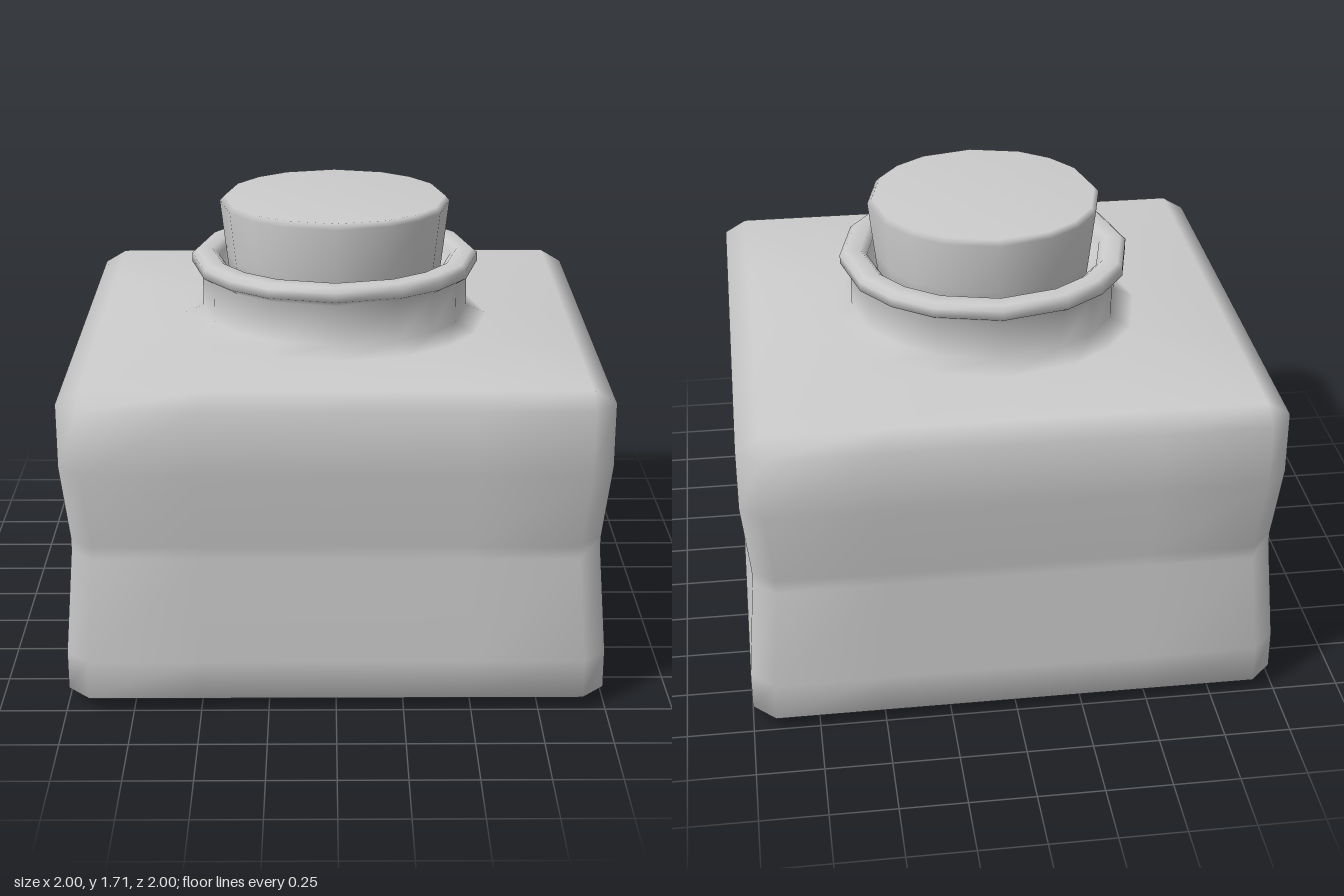
import * as THREE from 'three';
import { mergeVertices } from 'three/addons/utils/BufferGeometryUtils.js';

const SIDES = 20; // five points per quarter; round rings fold the two corner points into one

// Quarter outline repeated four times by turning it 90 degrees
function ring(quarter, y) {
  const points = [];
  for (let q = 0; q < 4; q++) {
    for (let [x, z] of quarter) {
      for (let k = 0; k < q; k++) [x, z] = [-z, x];
      points.push([x, y, z]);
    }
  }
  return points;
}

// Square ring of half width h with corners cut by c
const square = (h, c, y) => ring([[h, 0], [h, h * 0.5], [h, h - c], [h - c, h], [h * 0.5, h]], y);

// Round ring of radius r
const round = (r, y) => {
  const a = r * 0.894, b = r * 0.447, d = r * 0.707;
  return ring([[r, 0], [a, b], [d, d], [d, d], [b, a]], y);
};

// Smooth skin through a stack of rings
function loft(name, rings, material) {
  const index = [];
  for (let i = 0; i < rings.length - 1; i++) {
    for (let j = 0; j < SIDES; j++) {
      const a = i * SIDES + j, b = i * SIDES + (j + 1) % SIDES;
      index.push(a, a + SIDES, b, b, a + SIDES, b + SIDES);
    }
  }
  let geometry = new THREE.BufferGeometry();
  geometry.setAttribute('position', new THREE.Float32BufferAttribute(rings.flat(2), 3));
  geometry.setIndex(index);
  geometry = mergeVertices(geometry, 1e-4);
  // Drop triangles collapsed at corners and centres
  const merged = geometry.index.array, kept = [];
  for (let i = 0; i < merged.length; i += 3) {
    const [a, b, c] = [merged[i], merged[i + 1], merged[i + 2]];
    if (a !== b && b !== c && a !== c) kept.push(a, b, c);
  }
  geometry.setIndex(kept);
  geometry.computeVertexNormals();
  const mesh = new THREE.Mesh(geometry, material);
  mesh.name = name;
  return mesh;
}

export function createModel() {
  const group = new THREE.Group();
  group.name = 'stopperedJar';
  const material = new THREE.MeshStandardMaterial({ color: 0xcccccc, side: THREE.DoubleSide });

  // Square jar with a pinched waist, flared neck and rolled lip
  group.add(loft('jar', [
    round(0, 0),
    square(0.91, 0, 0),
    square(1, 0.085, 0.05),
    square(1, 0.085, 0.2),
    square(0.97, 0.085, 0.6),
    square(0.97, 0.085, 0.65),
    square(1, 0.085, 0.94),
    square(1, 0.085, 1.18),
    square(0.915, 0, 1.23),
    round(0.6, 1.23),
    round(0.52, 1.265),
    round(0.52, 1.42),
    round(0.56, 1.445),
    round(0.56, 1.48),
    round(0.54, 1.497),
    round(0.48, 1.497),
    round(0.455, 1.475),
    round(0.455, 1.44),
    round(0.4, 1.38),
  ], material));

  // Tapered stopper with a bevelled top edge
  group.add(loft('stopper', [
    round(0, 1.28),
    round(0.4, 1.28),
    round(0.425, 1.49),
    round(0.448, 1.69),
    round(0.43, 1.71),
    round(0, 1.71),
  ], material));

  return group;
}
